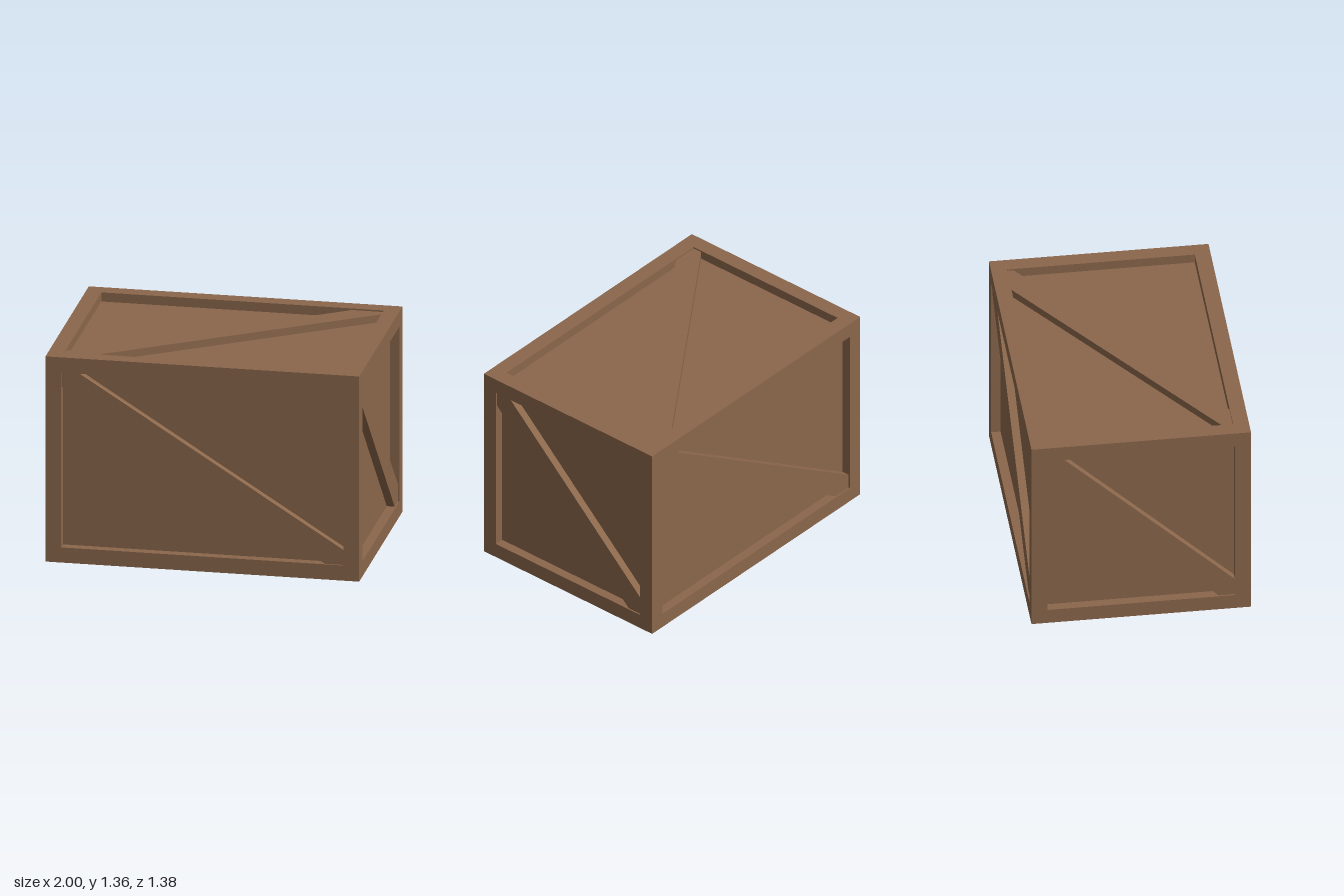
import * as THREE from 'three';

const W = 2, H = 1.355, D = 1.385;   // overall crate size
const BAR = 0.1;                     // width of the frame bars
const RECESS = 0.06;                 // depth of the panels behind the frame
const SETBACK = 0.01;                // braces sit slightly behind the frame

export function createModel() {
  const crate = new THREE.Group();
  crate.name = 'crate';
  const wood = new THREE.MeshStandardMaterial({ color: 0x8b674b });
  wood.name = 'brown wood';

  const add = (name, geometry) => {
    const mesh = new THREE.Mesh(geometry, wood);
    mesh.name = name;
    crate.add(mesh);
    return mesh;
  };
  const box = (name, w, h, d, x, y, z) =>
    add(name, new THREE.BoxGeometry(w, h, d)).position.set(x, y, z);

  // Recessed panels on all six sides
  box('panels', W - 2 * RECESS, H - 2 * RECESS, D - 2 * RECESS, 0, H / 2, 0);

  // Twelve frame bars, butted at the corners
  const ex = (W - BAR) / 2, ey = (H - BAR) / 2, ez = (D - BAR) / 2;
  for (const a of [-1, 1]) {
    for (const b of [-1, 1]) {
      box('cornerPost', BAR, H, BAR, a * ex, H / 2, b * ez);
      box('longRail', W - 2 * BAR, BAR, BAR, 0, H / 2 + a * ey, b * ez);
      box('crossRail', BAR, BAR, D - 2 * BAR, a * ex, H / 2 + b * ey, 0);
    }
  }

  // Diagonal brace from upper left to lower right of a face.
  // u, v: face axes; U, V: half size of the opening;
  // a, b: ends of the upper edge; c, d: ends of the lower edge.
  const brace = (name, u, v, half, U, V, [a, b, c, d]) => {
    const outline = [[-U, V], [-U, d], [c, -V], [U, -V], [U, b], [a, V]];
    const shape = new THREE.Shape(outline.map(([x, y]) => new THREE.Vector2(x, y)));
    const geometry = new THREE.ExtrudeGeometry(shape, { depth: RECESS - SETBACK, bevelEnabled: false });
    geometry.translate(0, 0, half - RECESS);
    const uAxis = new THREE.Vector3(...u), vAxis = new THREE.Vector3(...v);
    const normal = uAxis.clone().cross(vAxis);
    geometry.applyMatrix4(new THREE.Matrix4().makeBasis(uAxis, vAxis, normal));
    add(name, geometry).position.y = H / 2;
  };
  const iw = W / 2 - BAR, ih = H / 2 - BAR, id = D / 2 - BAR;
  const side = [-0.49, -0.46, 0.49, 0.475];
  brace('frontBrace', [1, 0, 0], [0, 1, 0], D / 2, iw, ih, [-0.79, -0.48, 0.78, 0.48]);
  brace('backBrace', [-1, 0, 0], [0, 1, 0], D / 2, iw, ih, [-0.76, -0.48, 0.775, 0.487]);
  brace('leftBrace', [0, 0, -1], [0, 1, 0], W / 2, id, ih, side);
  brace('rightBrace', [0, 0, 1], [0, 1, 0], W / 2, id, ih, side);
  brace('topBrace', [0, 0, 1], [1, 0, 0], H / 2, id, iw, [-0.55, -0.73, 0.53, 0.7]);
  brace('bottomBrace', [0, 0, 1], [-1, 0, 0], H / 2, id, iw, [-0.5, -0.78, 0.47, 0.76]);

  return crate;
}
